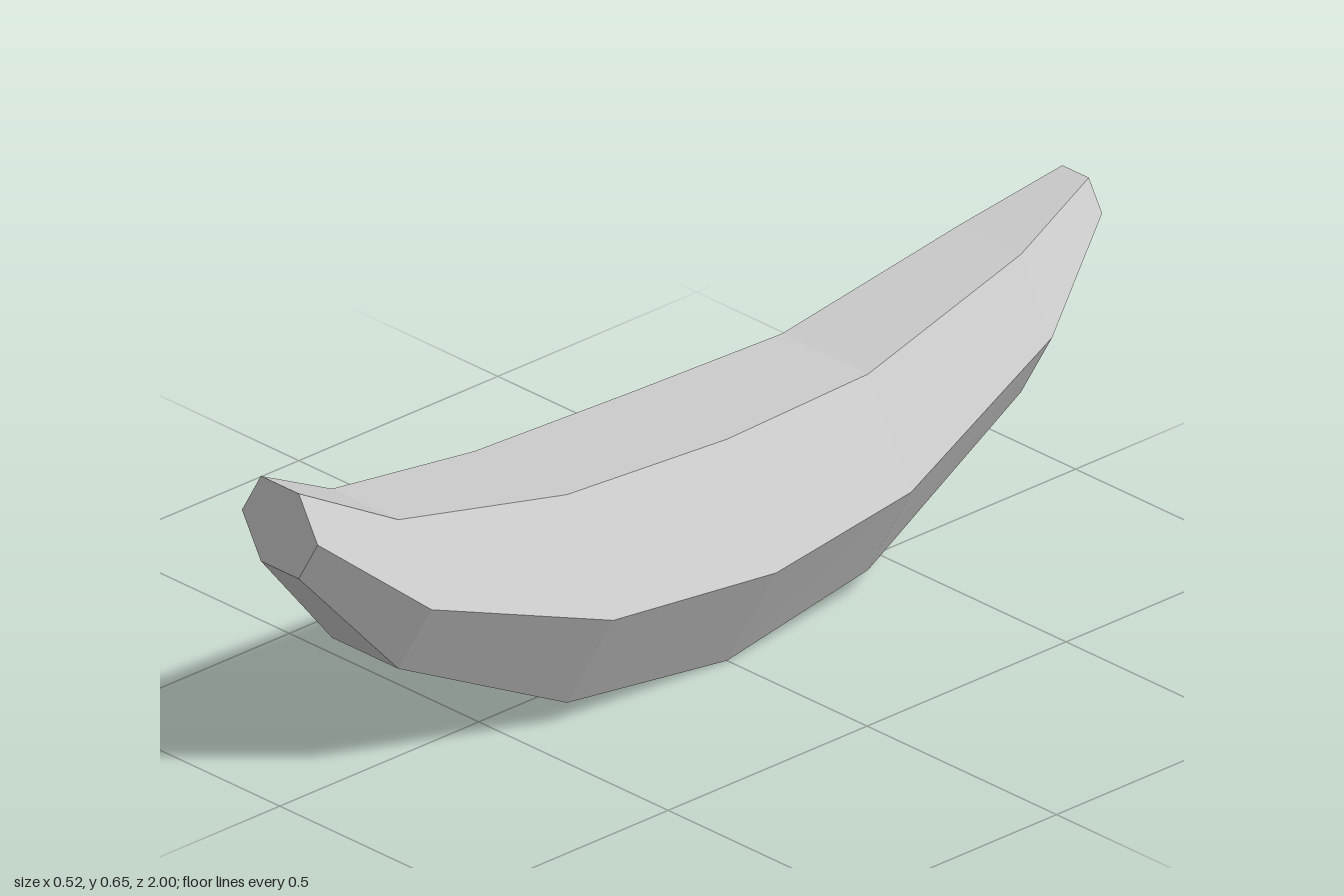
import * as THREE from 'three';

// Cross-sections from front to back: z, bottom y, top y, half width
const SECTIONS = [
  [1, 0.48, 0.653, 0.1],
  [0.785, 0.237, 0.54, 0.175],
  [0.395, 0.047, 0.47, 0.245],
  [0, 0, 0.45, 0.26],
  [-0.37, 0.052, 0.45, 0.228],
  [-0.785, 0.26, 0.54, 0.164],
  [-1, 0.485, 0.605, 0.07],
];
const SIDES = 6;

// Hexagon with flat top and bottom, counter-clockwise seen from the front
function ring([z, bottom, top, halfWidth]) {
  const points = [];
  for (let j = 0; j < SIDES; j++) {
    const x = halfWidth * Math.cos((j * Math.PI) / 3);
    const rise = [0, 1, 1, 0, -1, -1][j];
    points.push([x, (bottom + top) / 2 + (rise * (top - bottom)) / 2, z]);
  }
  return points;
}

function loft(rings) {
  const positions = [];
  const tri = (a, b, c) => positions.push(...a, ...b, ...c);

  // Sides between neighbouring sections
  for (let i = 0; i < rings.length - 1; i++) {
    for (let j = 0; j < SIDES; j++) {
      const k = (j + 1) % SIDES;
      const [a, b, c, d] = [rings[i][j], rings[i + 1][j], rings[i + 1][k], rings[i][k]];
      tri(a, b, c);
      tri(a, c, d);
    }
  }

  // Flat end caps
  const front = rings[0];
  const back = rings[rings.length - 1];
  for (let j = 1; j < SIDES - 1; j++) {
    tri(front[0], front[j], front[j + 1]);
    tri(back[0], back[j + 1], back[j]);
  }

  const geometry = new THREE.BufferGeometry();
  geometry.setAttribute('position', new THREE.Float32BufferAttribute(positions, 3));
  geometry.computeVertexNormals();
  return geometry;
}

export function createModel() {
  const group = new THREE.Group();
  group.name = 'banana';

  // Curved, tapering fruit body
  const material = new THREE.MeshStandardMaterial({ color: 0xcccccc, flatShading: true });
  const body = new THREE.Mesh(loft(SECTIONS.map(ring)), material);
  body.name = 'fruitBody';
  group.add(body);

  return group;
}
